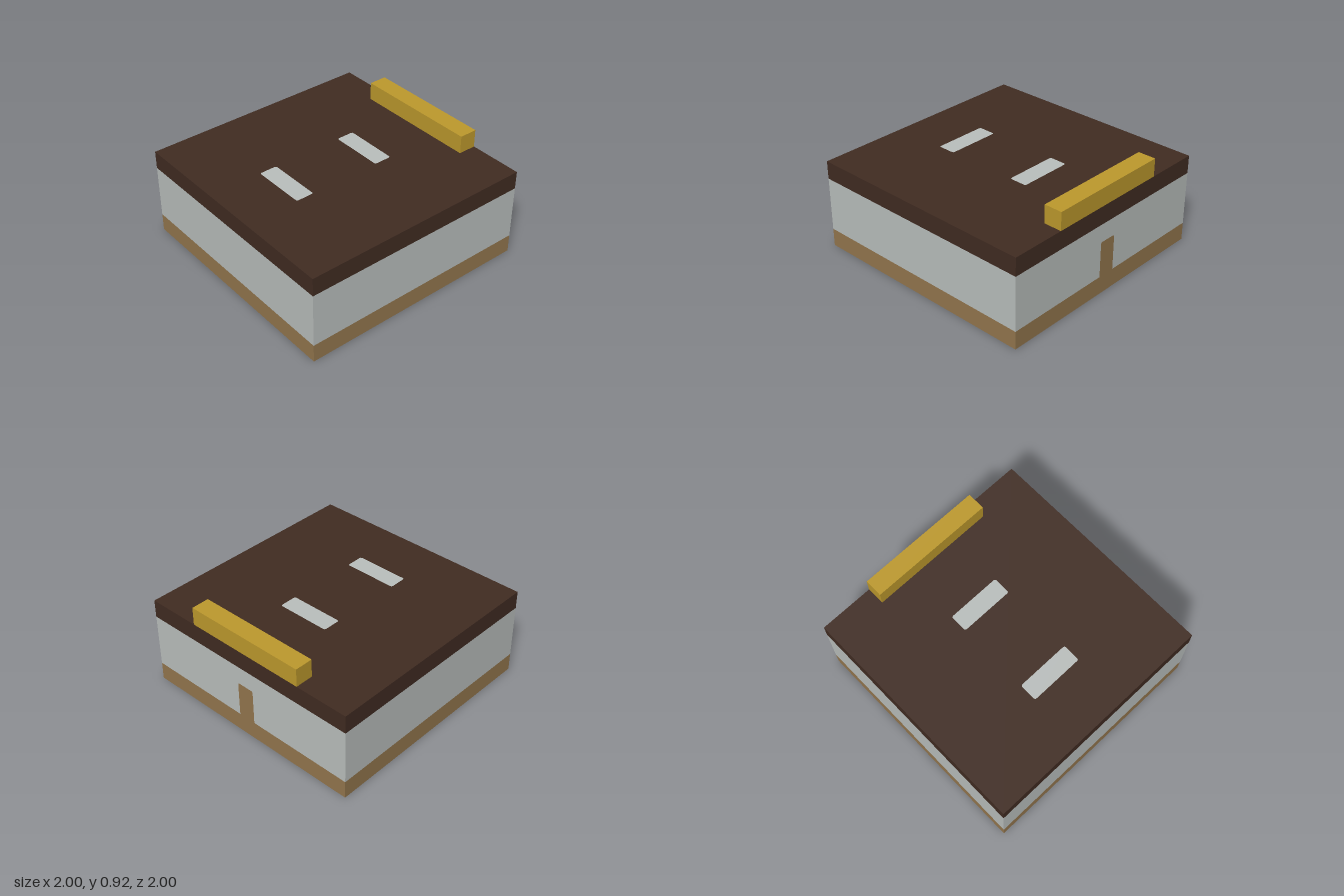
import * as THREE from 'three';

const U = 2 / 13; // module that all proportions follow

const paint = (name, color) => {
  const m = new THREE.MeshStandardMaterial({ color });
  m.name = name;
  return m;
};

// Thin flat plate with slightly rounded corners, centred, facing +z
function plateGeometry(w, h, r = 0.018) {
  const x = w / 2, y = h / 2;
  const s = new THREE.Shape();
  s.moveTo(-x + r, -y);
  s.lineTo(x - r, -y);
  s.quadraticCurveTo(x, -y, x, -y + r);
  s.lineTo(x, y - r);
  s.quadraticCurveTo(x, y, x - r, y);
  s.lineTo(-x + r, y);
  s.quadraticCurveTo(-x, y, -x, y - r);
  s.lineTo(-x, -y + r);
  s.quadraticCurveTo(-x, -y, -x + r, -y);
  return new THREE.ShapeGeometry(s, 4);
}

export function createModel() {
  const group = new THREE.Group();
  const darkBrown = paint('dark brown', 0x412c22);
  const paleGrey = paint('pale grey', 0xbbc0be);
  const tan = paint('tan', 0x94774e);
  const gold = paint('gold', 0xbe9a2d);

  const add = (name, geometry, material, x, y, z) => {
    const mesh = new THREE.Mesh(geometry, material);
    mesh.name = name;
    mesh.position.set(x, y, z);
    group.add(mesh);
    return mesh;
  };

  // Body: one block in five rows, coloured as top band, three-row middle and base band
  const body = new THREE.BoxGeometry(2, 5 * U, 2, 1, 5, 1);
  const faces = body.groups.slice();
  body.clearGroups();
  faces.forEach(({ start, count }, i) => {
    if (i === 2 || i === 3) {
      body.addGroup(start, count, i === 2 ? 0 : 2);
    } else {
      body.addGroup(start, 6, 0);
      body.addGroup(start + 6, 18, 1);
      body.addGroup(start + 24, 6, 2);
    }
  });
  add('body', body, [darkBrown, paleGrey, tan], 0, 2.5 * U, 0);

  // Raised bar along the back edge
  add('backBar', new THREE.BoxGeometry(7 * U, U, U), gold, 0, 5.5 * U, -1 + U / 2);

  // Two pale slots on the top
  for (const [name, z] of [['backSlot', -2 * U], ['frontSlot', 3 * U]]) {
    const slot = add(name, plateGeometry(3 * U, U), paleGrey, 0, 5 * U + 0.002, z);
    slot.rotation.x = -Math.PI / 2;
  }

  // Upright strip on the back, rising from the base band
  const strip = add('backStrip', plateGeometry(U, 2.5 * U), tan, 0, 1.75 * U, -1.002);
  strip.rotation.y = Math.PI;

  return group;
}
